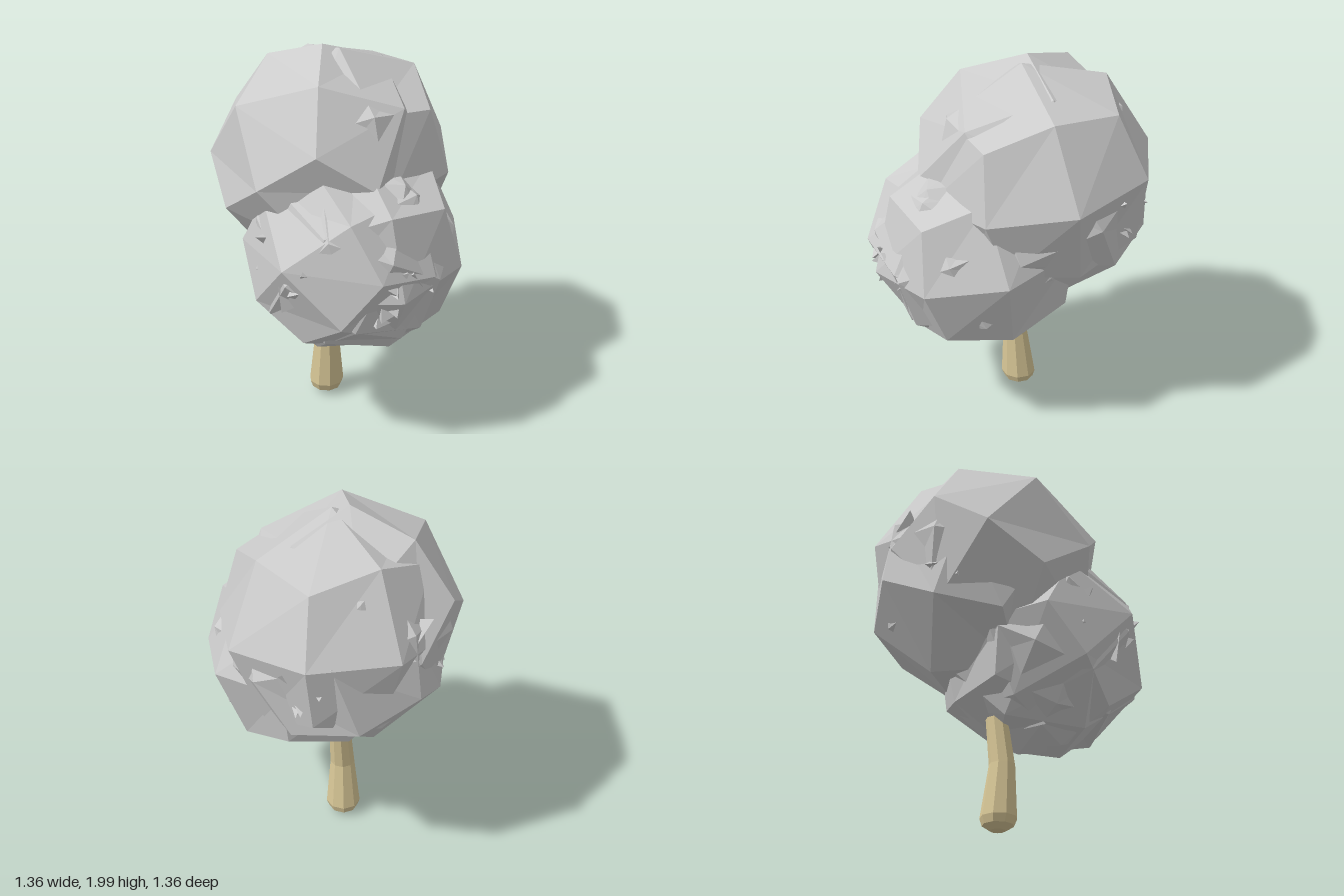
import * as THREE from 'three';

const leafMat = new THREE.MeshStandardMaterial({ color: 0xcccccc, flatShading: true });
const barkMat = new THREE.MeshStandardMaterial({ color: 0xd8c797, flatShading: true });

// Low-poly ball of 24 kite-shaped faces: a subdivided cube pushed onto a sphere.
// Its cube axes are turned to point along axisA and (roughly) axisB.
function facetedBall(name, radius, position, axisA, axisB) {
  const geo = new THREE.BoxGeometry(2, 2, 2, 2, 2, 2);
  const p = geo.attributes.position;
  const v = new THREE.Vector3();
  for (let i = 0; i < p.count; i++) {
    v.fromBufferAttribute(p, i).setLength(radius);
    p.setXYZ(i, v.x, v.y, v.z);
  }
  const a = new THREE.Vector3(...axisA).normalize();
  const c = new THREE.Vector3().crossVectors(a, new THREE.Vector3(...axisB)).normalize();
  const b = new THREE.Vector3().crossVectors(c, a);
  const mesh = new THREE.Mesh(geo, leafMat);
  mesh.name = name;
  mesh.position.set(...position);
  mesh.quaternion.setFromRotationMatrix(new THREE.Matrix4().makeBasis(a, b, c));
  return mesh;
}

// Small leaf shards lying slanted in the surface around a given direction
function leafShards(name, center, radius, direction, count, spread, seed) {
  const group = new THREE.Group();
  group.name = name;
  let s = seed;
  const rand = () => (s = (s * 16807) % 2147483647) / 2147483647;
  const jitter = (v, amount) => {
    v.x += (rand() - 0.5) * amount;
    v.y += (rand() - 0.5) * amount;
    v.z += (rand() - 0.5) * amount;
    return v.normalize();
  };
  const up = new THREE.Vector3(0, 1, 0);
  for (let i = 0; i < count; i++) {
    const n = jitter(new THREE.Vector3(...direction).normalize(), spread);
    const shard = new THREE.Mesh(new THREE.ConeGeometry(0.07 + 0.05 * rand(), 0.14, 3), leafMat);
    shard.name = 'leafShard';
    shard.position.set(...center).addScaledVector(n, radius * 0.87);
    shard.quaternion.setFromUnitVectors(up, jitter(n, 1.5));
    group.add(shard);
  }
  return group;
}

// Trunk with a rounded foot, tapering upward and bending slightly
function trunk() {
  const profile = [[0, 0.005], [0.04, 0.01], [0.08, 0.035], [0.094, 0.075], [0.067, 0.35], [0.058, 0.6], [0, 0.6]];
  const geo = new THREE.LatheGeometry(profile.map(([r, y]) => new THREE.Vector2(r, y)), 9);
  const p = geo.attributes.position;
  for (let i = 0; i < p.count; i++) {
    const y = p.getY(i);
    const bend = y < 0.36 ? -0.015 * y / 0.35 : -0.015 + (y - 0.35) * 0.13;
    p.setX(i, p.getX(i) + bend);
    p.setZ(i, p.getZ(i) + Math.min(y, 0.35) * 0.05);
  }
  const mesh = new THREE.Mesh(geo, barkMat);
  mesh.name = 'trunk';
  mesh.position.set(-0.02, 0, -0.095);
  return mesh;
}

export function createModel() {
  const model = new THREE.Group();
  model.name = 'tree';

  // Upper crown: three balls, nearly concentric but turned differently
  const upper = new THREE.Group();
  upper.name = 'upperCrown';
  upper.add(
    facetedBall('leftFoliage', 0.593, [0.115, 1.4, -0.1], [0.87, 0.07, 0.5], [-0.05, 0.99, 0.15]),
    facetedBall('rightFoliage', 0.585, [0, 1.415, -0.12], [-0.736, 0.577, -0.358], [0.057, 0.577, 0.814]),
    facetedBall('lowerFoliage', 0.57, [0.11, 1.315, -0.13], [0.15, -0.89, -0.43], [0.87, 0.25, -0.41]),
    leafShards('leftSideShards', [0.11, 1.38, -0.11], 0.58, [1, -0.3, 0.1], 5, 0.9, 11),
    leafShards('backShards', [0.06, 1.4, -0.12], 0.58, [0.2, 0.1, -1], 5, 1.3, 23)
  );

  // Lower crown: three balls toward the front
  const lower = new THREE.Group();
  lower.name = 'lowerCrown';
  lower.add(
    facetedBall('leftFoliage', 0.556, [-0.08, 1.015, 0.16], [0.87, 0.07, 0.5], [-0.05, 0.99, 0.15]),
    facetedBall('rightFoliage', 0.535, [-0.155, 1.01, 0.15], [-0.98, 0.15, 0], [0.1, 0.7, 0.7]),
    facetedBall('lowerFoliage', 0.54, [-0.12, 1.0, 0.15], [0, -0.8, -0.6], [0.707, -0.424, 0.566]),
    leafShards('frontShards', [-0.15, 1.01, 0.15], 0.54, [-0.35, -0.3, 1], 8, 0.8, 37),
    leafShards('undersideShards', [-0.1, 1.01, 0.15], 0.52, [0, -1, -0.25], 9, 1.1, 53),
    leafShards('rightSideShards', [-0.15, 1.01, 0.15], 0.53, [-1, 0, 0], 4, 0.9, 71)
  );

  model.add(upper, lower, trunk());
  return model;
}
